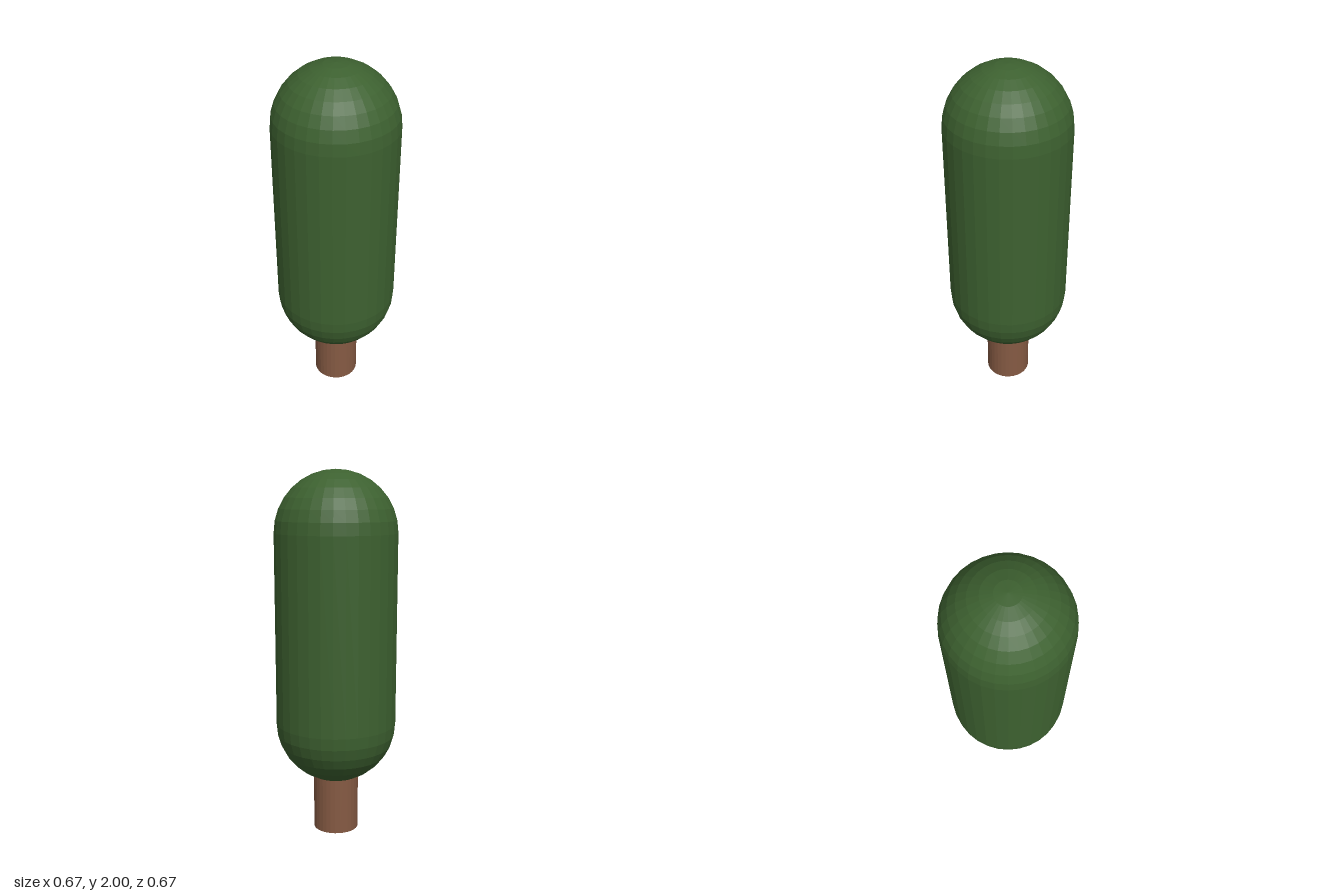
import * as THREE from 'three';

export function createModel() {
  const tree = new THREE.Group();
  tree.name = 'tree';

  const addPart = (name, geometry, color, y) => {
    const material = new THREE.MeshStandardMaterial({ color, flatShading: true });
    const mesh = new THREE.Mesh(geometry, material);
    mesh.name = name;
    mesh.position.y = y;
    tree.add(mesh);
  };

  // Short round trunk, its top sunk into the foliage
  const trunkHeight = 0.36;
  addPart('trunk', new THREE.CylinderGeometry(0.125, 0.125, trunkHeight, 32), 0x855a43, trunkHeight / 2);

  // Tall capsule of foliage
  const radius = 0.333, bottom = 0.287, top = 2;
  addPart('foliage', new THREE.CapsuleGeometry(radius, top - bottom - 2 * radius, 8, 32), 0x3d6130, (top + bottom) / 2);

  return tree;
}
